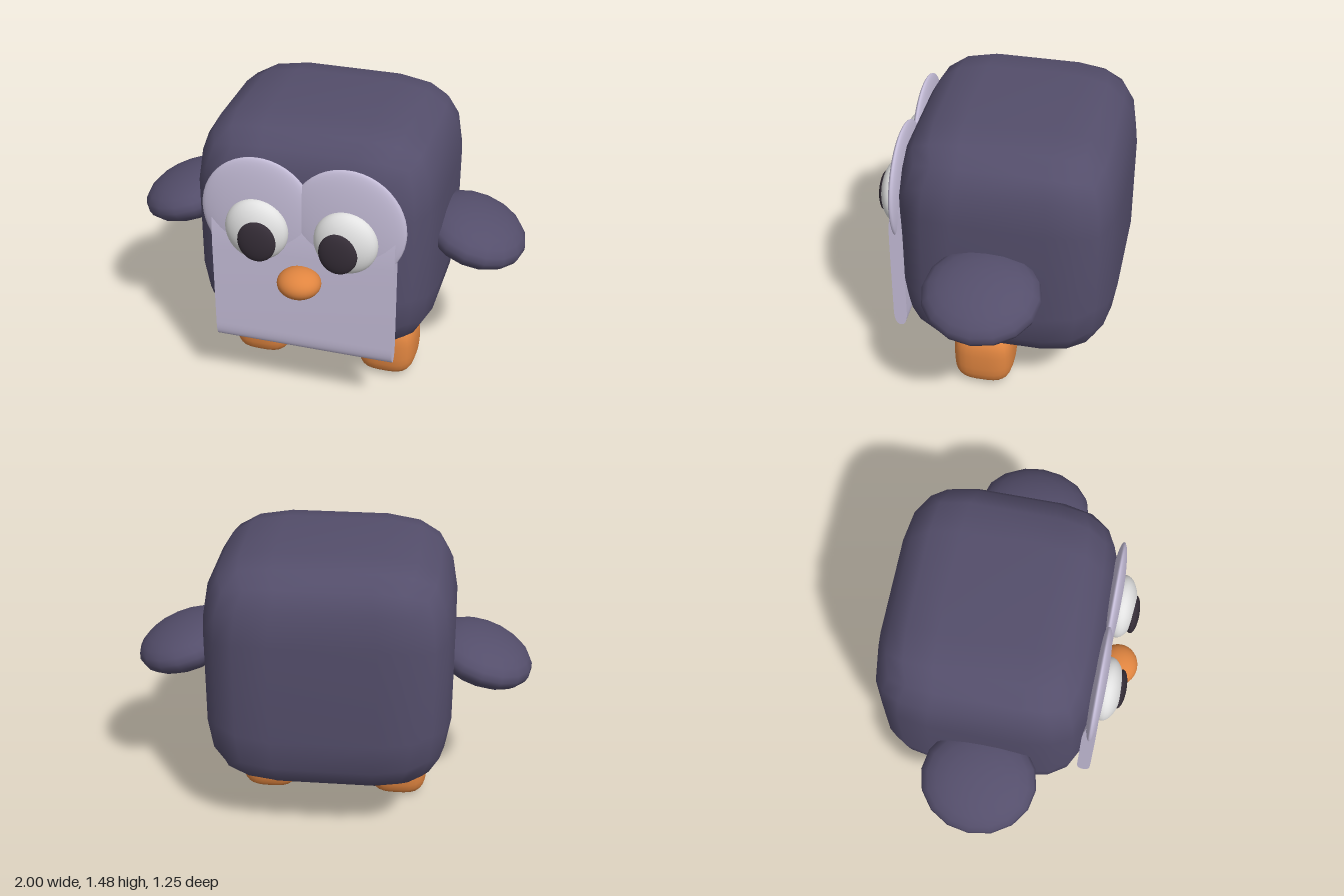
import * as THREE from 'three';
import { mergeVertices, toCreasedNormals } from 'three/addons/utils/BufferGeometryUtils.js';

const flat = (name, color) => {
  const m = new THREE.MeshStandardMaterial({ color });
  m.name = name;
  return m;
};

// Rounded cube: project a box grid onto |x|^p + |y|^p + |z|^p = 1
function roundedCube(segments, p, spread = (t) => t) {
  const box = new THREE.BoxGeometry(2, 2, 2, segments, segments, segments);
  box.deleteAttribute('normal');
  box.deleteAttribute('uv');
  const geo = mergeVertices(box, 1e-4);
  const pos = geo.attributes.position;
  for (let i = 0; i < pos.count; i++) {
    const v = [pos.getX(i), pos.getY(i), pos.getZ(i)].map(spread);
    const r = v.reduce((s, c) => s + Math.abs(c) ** p, 0) ** (1 / p);
    pos.setXYZ(i, v[0] / r, v[1] / r, v[2] / r);
  }
  return geo;
}

export function createModel() {
  const group = new THREE.Group();
  const navy = flat('dark plumage', 0x544e6b);
  const lilac = flat('pale plumage', 0xc5bdd8);
  const white = flat('eye white', 0xe2e2e2);
  const dark = flat('pupil dark', 0x352d37);
  const orange = flat('orange', 0xe08540);

  // Bakes size into the geometry, so normals stay smooth
  function add(name, geo, mat, size, at, tilt = 0) {
    const g = geo.clone().scale(...size);
    if (!geo.attributes.normal) g.computeVertexNormals();
    const mesh = new THREE.Mesh(g, mat);
    mesh.name = name;
    mesh.position.set(...at);
    mesh.rotation.z = tilt;
    group.add(mesh);
  }

  // Body: coarse cube with a wide flat middle on each face
  const wide = (t) => Math.sign(t) * (Math.abs(t) > 0.9 ? 1 : Math.abs(t) > 0.4 ? 0.73 : 0.42);
  add('body', roundedCube(5, 4.3, wide), navy, [0.615, 0.61, 0.545], [0, 0.88, -0.085]);

  // Belly plate: side profile swept across the width, thinning at the top
  const profile = new THREE.Shape();
  profile.moveTo(0, 0.33);
  profile.quadraticCurveTo(0.034, 0.33, 0.034, 0.42);
  profile.lineTo(0.034, 0.88);
  profile.quadraticCurveTo(0.03, 1.05, 0, 1.15);
  profile.quadraticCurveTo(-0.03, 1.05, -0.034, 0.88);
  profile.lineTo(-0.034, 0.42);
  profile.quadraticCurveTo(-0.034, 0.33, 0, 0.33);
  const plate = new THREE.ExtrudeGeometry(profile, { depth: 0.91, bevelEnabled: false, curveSegments: 8 });
  plate.translate(0, 0, -0.455).rotateY(-Math.PI / 2);
  add('belly', toCreasedNormals(plate, 0.7), lilac, [1, 1, 1], [0, 0, 0.45]);

  // Paired parts
  const ball = new THREE.SphereGeometry(1, 32, 24);
  const coarseBall = new THREE.SphereGeometry(1, 16, 12);
  const footShape = roundedCube(8, 3.4);
  for (const [side, s] of [['left', 1], ['right', -1]]) {
    add(side + 'FacePatch', ball, lilac, [0.285, 0.3, 0.038], [s * 0.22, 1.08, 0.453]);
    add(side + 'Eye', ball, white, [0.157, 0.163, 0.08], [s * 0.22, 1.012, 0.49]);
    add(side + 'Pupil', ball, dark, [0.095, 0.108, 0.032], [s * 0.2, 0.985, 0.558]);
    add(side + 'Wing', coarseBall, navy, [0.264, 0.122, 0.285], [s * 0.745, 0.86, -0.04], s * -0.3);
    add(side + 'Foot', footShape, orange, [0.152, 0.165, 0.154], [s * 0.34, 0.165, 0.03]);
  }

  // Beak
  add('beak', ball, orange, [0.108, 0.075, 0.1], [0, 0.77, 0.53]);

  return group;
}
